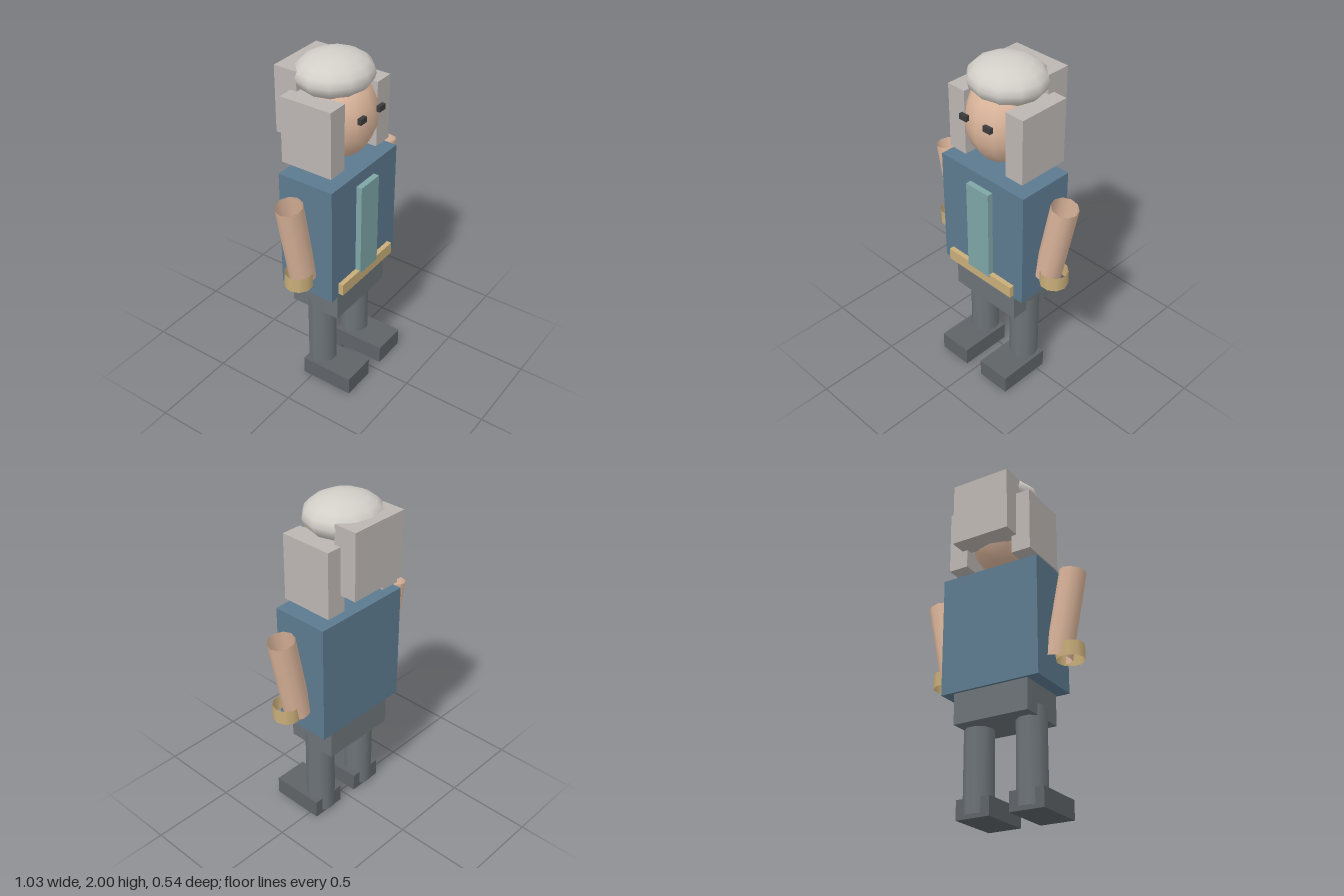
import * as THREE from 'three';

const mat = (color, side = THREE.FrontSide) => new THREE.MeshStandardMaterial({ color, side });
const SKIN = 0xdcb69c, GOLD = 0xc9ae7a, HAIR = 0xd2cec8, LOCKS = 0xbcb6b2;
const BLUE = 0x5c7a8f, TEAL = 0x7fa6a6, TROUSER = 0x6c7377, SHOE = 0x5f6367, DARK = 0x3c3c3c;

export function createModel() {
  const model = new THREE.Group();
  model.name = 'figure';

  const add = (name, geometry, material) => {
    const mesh = new THREE.Mesh(geometry, material);
    mesh.name = name;
    model.add(mesh);
    return mesh;
  };

  // Box given by its limits on each axis
  const box = (name, color, [x0, x1], [y0, y1], [z0, z1]) =>
    add(name, new THREE.BoxGeometry(x1 - x0, y1 - y0, z1 - z0), mat(color))
      .position.set((x0 + x1) / 2, (y0 + y1) / 2, (z0 + z1) / 2);

  // Open ten-sided tube with a corner pointing along x
  const tube = (name, color, r, length, x, y, z, tilt = 0) => {
    const geometry = new THREE.CylinderGeometry(r, r, length, 10, 1, true).rotateY(Math.PI / 2);
    const mesh = add(name, geometry, mat(color, THREE.DoubleSide));
    mesh.position.set(x, y, z);
    mesh.rotation.z = tilt;
  };

  const ellipsoid = (name, color, [rx, ry, rz], y, z) =>
    add(name, new THREE.SphereGeometry(1, 12, 10).scale(rx, ry, rz), mat(color)).position.set(0, y, z);

  // Body and clothing
  box('torso', BLUE, [-0.305, 0.305], [0.673, 1.378], [-0.163, 0.178]);
  box('frontPanel', TEAL, [-0.082, 0.082], [0.747, 1.306], [0.16, 0.212]);
  box('belt', GOLD, [-0.243, 0.243], [0.692, 0.763], [0.16, 0.207]);
  box('hips', TROUSER, [-0.23, 0.23], [0.495, 0.69], [-0.147, 0.161]);

  // Head and hair
  ellipsoid('head', SKIN, [0.205, 0.253, 0.205], 1.668, 0.012);
  ellipsoid('hairTop', HAIR, [0.224, 0.115, 0.21], 1.885, -0.02);
  box('hairBack', LOCKS, [-0.18, 0.18], [1.54, 1.923], [-0.268, -0.128]);

  // Mirrored parts
  for (const [side, s] of [['left', 1], ['right', -1]]) {
    const span = (a, b) => (s > 0 ? [a, b] : [-b, -a]);
    box(side + 'HairLock', LOCKS, span(0.148, 0.267), [1.432, 1.812], [-0.167, 0.147]);
    box(side + 'Eye', DARK, span(0.06, 0.111), [1.696, 1.728], [0.198, 0.22]);
    tube(side + 'Arm', SKIN, 0.076, 0.513, s * 0.388, 1.057, 0.006, -s * 0.2);
    tube(side + 'Cuff', GOLD, 0.08, 0.087, s * 0.398, 0.836, 0.025);
    tube(side + 'Leg', TROUSER, 0.085, 0.54, s * 0.164, 0.29, 0.008);
    box(side + 'Foot', SHOE, span(0.06, 0.267), [0, 0.11], [-0.055, 0.268]);
  }
  return model;
}
